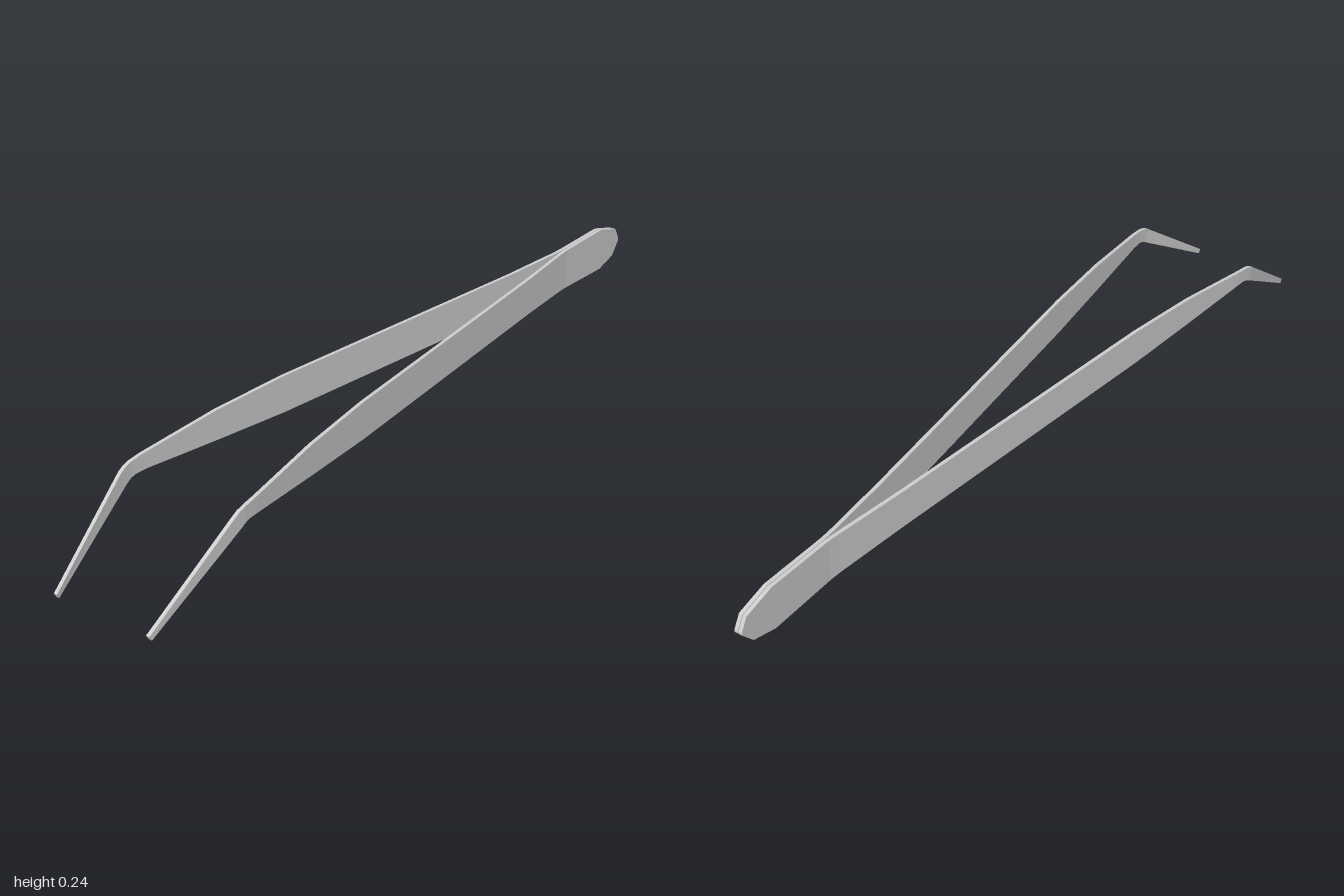
import * as THREE from 'three';

// Outline stations from tip to tail: [top x, top y, bottom x, bottom y]
const stations = [
  [-1.0, 0.011, -0.994, 0.0],
  [-0.768, 0.182, -0.752, 0.15],
  [-0.752, 0.191, -0.738, 0.158],
  [-0.735, 0.196, -0.722, 0.162],
  [-0.7, 0.201, -0.69, 0.162],
  [-0.49, 0.225, -0.49, 0.152],
  [-0.285, 0.235, -0.285, 0.144],
  [0.52, 0.235, 0.52, 0.139],
  [0.7, 0.239, 0.7, 0.135],
  [0.73, 0.24, 0.73, 0.134],
  [0.905, 0.243, 0.905, 0.13],
  [0.982, 0.222, 0.97, 0.148],
  [1.0, 0.19, 1.0, 0.184],
];

// Sideways spread of an arm along its length: [x, z]
const spread = [[-1, 0.129], [-0.77, 0.158], [-0.74, 0.1592], [-0.7, 0.157], [0.7, 0.0075], [0.73, 0.0053], [1, 0.0053]];
const HALF = 0.0046;

function spreadAt(x) {
  let i = 0;
  while (i < spread.length - 2 && x > spread[i + 1][0]) i++;
  const [x0, z0] = spread[i], [x1, z1] = spread[i + 1];
  return z0 + (z1 - z0) * (x - x0) / (x1 - x0);
}

// Lofts a rectangular section through the stations; side is +1 or -1
function armGeometry(side) {
  const pos = [];
  const rings = stations.map(([tx, ty, bx, by]) => {
    const zt = side * spreadAt(tx), zb = side * spreadAt(bx);
    return [[bx, by, zb + HALF], [tx, ty, zt + HALF], [tx, ty, zt - HALF], [bx, by, zb - HALF]];
  });
  const quad = (a, b, c, d) => pos.push(...a, ...b, ...c, ...a, ...c, ...d);
  for (let i = 0; i < rings.length - 1; i++) {
    const p = rings[i], q = rings[i + 1];
    for (let k = 0; k < 4; k++) {
      const n = (k + 1) % 4;
      quad(p[k], q[k], q[n], p[n]);
    }
  }
  // end caps
  quad(...rings[0]);
  quad(...rings[rings.length - 1].slice().reverse());
  const g = new THREE.BufferGeometry();
  g.setAttribute('position', new THREE.Float32BufferAttribute(pos, 3));
  g.computeVertexNormals();
  return g;
}

export function createModel() {
  const group = new THREE.Group();
  group.name = 'tweezers';
  const material = new THREE.MeshStandardMaterial({ color: 0xcccccc, flatShading: true });
  for (const [name, side] of [['frontArm', 1], ['backArm', -1]]) {
    const arm = new THREE.Mesh(armGeometry(side), material);
    arm.name = name;
    group.add(arm);
  }
  return group;
}
